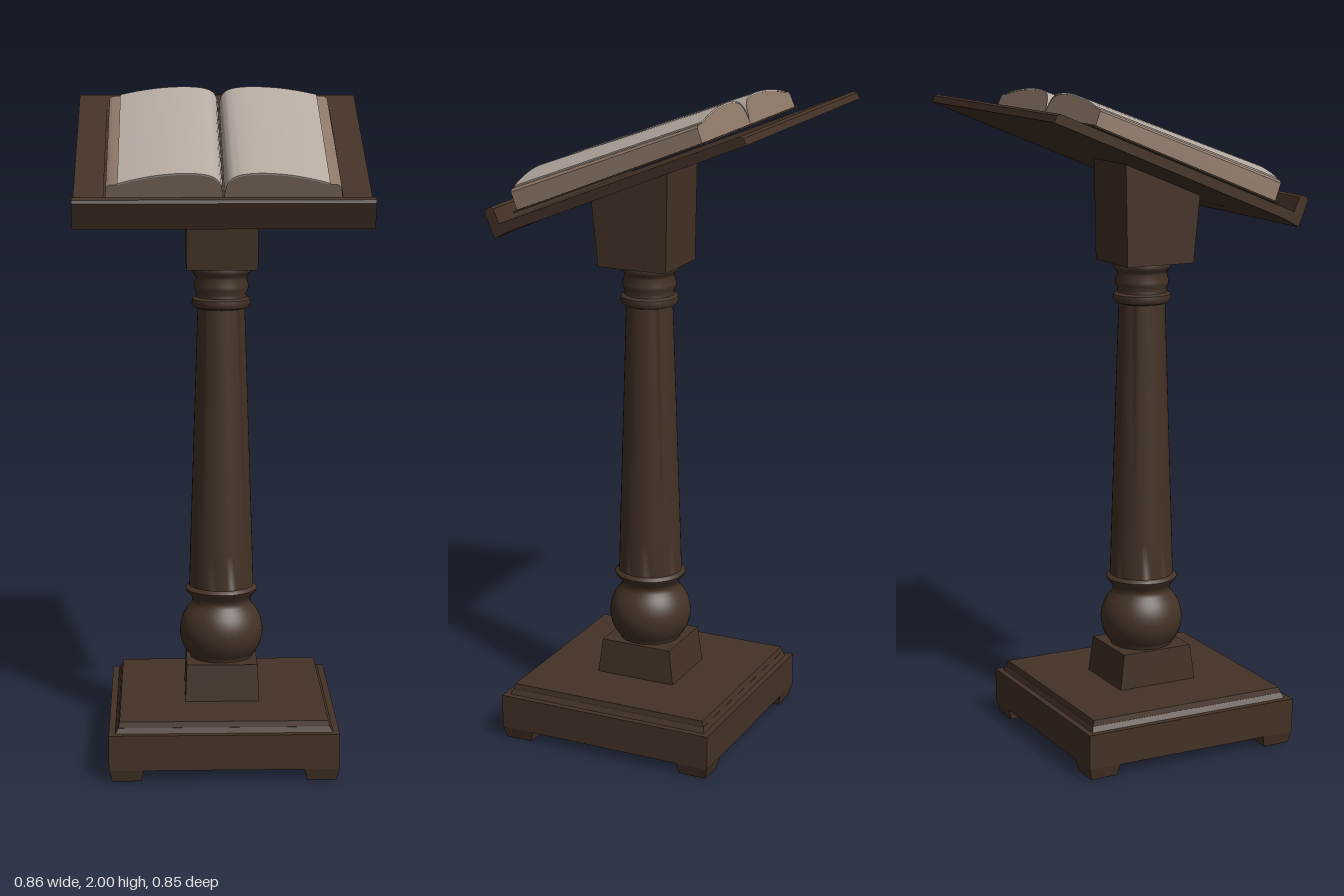
import * as THREE from 'three';
import { toCreasedNormals } from 'three/addons/utils/BufferGeometryUtils.js';

const wood = new THREE.MeshStandardMaterial({ color: 0x443226 });
wood.name = 'darkWood';
const paper = new THREE.MeshStandardMaterial({ color: 0xb5aaa0 });
paper.name = 'paper';
const paperEdge = new THREE.MeshStandardMaterial({ color: 0x8d7868 });
paperEdge.name = 'paperEdge';

const AXIS_Z = 0.073; // the pedestal stands a little forward of centre

function add(parent, name, geometry, material) {
  const mesh = new THREE.Mesh(geometry, material);
  mesh.name = name;
  parent.add(mesh);
  return mesh;
}

// Box between y0 and y1 whose bottom and top half sizes differ
function taperedBox(y0, y1, bottom, top) {
  const geo = new THREE.BoxGeometry(2, y1 - y0, 2);
  const p = geo.attributes.position;
  for (let i = 0; i < p.count; i++) {
    const half = p.getY(i) > 0 ? top : bottom;
    p.setX(i, p.getX(i) * half[0]);
    p.setZ(i, p.getZ(i) * half[1]);
  }
  geo.translate(0, (y0 + y1) / 2, 0);
  return toCreasedNormals(geo, 0.3);
}

// Side profile of [z, y] points, extruded across x
function acrossX(points, width) {
  const shape = new THREE.Shape(points.map(([z, y]) => new THREE.Vector2(z, y)));
  const geo = new THREE.ExtrudeGeometry(shape, { depth: width, bevelEnabled: false });
  geo.rotateY(-Math.PI / 2);
  geo.translate(width / 2, 0, 0);
  return toCreasedNormals(geo, 0.6);
}

// Cross-section of [x, y] points extruded along z, a little thinner at the back
function bookExtrusion(points, z0, z1) {
  const shape = new THREE.Shape(points);
  const geo = new THREE.ExtrudeGeometry(shape, { depth: z1 - z0, bevelEnabled: false });
  geo.translate(0, 0, z0);
  const p = geo.attributes.position;
  for (let i = 0; i < p.count; i++) {
    if (p.getZ(i) < (z0 + z1) / 2) p.setY(i, p.getY(i) * 0.83);
  }
  return toCreasedNormals(geo, 0.6);
}

function createBase() {
  const base = new THREE.Group();
  base.name = 'base';
  add(base, 'baseBlock', taperedBox(0.035, 0.142, [0.34, 0.35], [0.34, 0.35]), wood);
  add(base, 'baseStep', taperedBox(0.14, 0.158, [0.322, 0.332], [0.312, 0.325]), wood);
  add(base, 'baseSlab', taperedBox(0.155, 0.175, [0.312, 0.325], [0.308, 0.32]), wood);
  for (const sx of [-1, 1]) {
    for (const sz of [-1, 1]) {
      const foot = add(base, 'foot', taperedBox(0, 0.04, [0.043, 0.043], [0.052, 0.052]), wood);
      foot.position.set(sx * 0.288, 0, sz * 0.298);
    }
  }
  add(base, 'plinth', taperedBox(0.17, 0.285, [0.112, 0.13], [0.107, 0.115]), wood);
  base.position.z = AXIS_Z;
  return base;
}

// Turned column: ball, collar, tapering shaft and neck rings
function columnGeometry() {
  const profile = [[0.001, 0.28], [0.095, 0.28]];
  for (let i = 0; i <= 10; i++) {
    const a = -0.72 + i * 0.148;
    profile.push([0.127 * Math.cos(a), 0.367 + 0.12 * Math.sin(a)]);
  }
  profile.push(
    [0.088, 0.462], [0.092, 0.475], [0.106, 0.49], [0.11, 0.5], [0.104, 0.507], [0.098, 0.51],
    [0.095, 0.62], [0.071, 1.36],
    [0.083, 1.364], [0.089, 1.375], [0.087, 1.388], [0.076, 1.394],
    [0.074, 1.405], [0.081, 1.418], [0.082, 1.43], [0.075, 1.45],
    [0.078, 1.46], [0.087, 1.468], [0.089, 1.478], [0.084, 1.49], [0.001, 1.49]
  );
  const geo = new THREE.LatheGeometry(profile.map(([r, y]) => new THREE.Vector2(r, y)), 40);
  return toCreasedNormals(geo, 0.7);
}

function createBook() {
  const book = new THREE.Group();
  book.name = 'openBook';
  const back = -0.648, front = -0.015, bottom = 0.018;

  // Upper curve of the right half, from gutter to fore edge
  const curve = new THREE.SplineCurve([
    [0.002, 0.05], [0.012, 0.088], [0.04, 0.11], [0.1, 0.118],
    [0.18, 0.113], [0.25, 0.1], [0.302, 0.086],
  ].map(([x, y]) => new THREE.Vector2(x, y))).getPoints(24);

  for (const s of [1, -1]) {
    const side = s > 0 ? 'left' : 'right';
    const at = (x, y) => new THREE.Vector2(s * x, y);
    const outline = [at(0, bottom), ...curve.map((p) => at(p.x, p.y - 0.004)),
      at(0.325, 0.08), at(0.335, 0.072), at(0.339, bottom)];
    add(book, side + 'PageBlock', bookExtrusion(outline, back, front), paperEdge);

    // Top leaf laid over the page block
    const leaf = [...curve.map((p) => at(p.x, p.y)),
      ...curve.map((p) => at(p.x, p.y - 0.005)).reverse()];
    add(book, side + 'Page', bookExtrusion(leaf, back - 0.002, front + 0.002), paper);
  }

  const cover = add(book, 'cover', new THREE.BoxGeometry(0.69, 0.005, 0.65), wood);
  cover.position.set(0, 0.015, (back + front) / 2);
  return book;
}

export function createModel() {
  const model = new THREE.Group();
  model.name = 'lectern';
  model.add(createBase());
  add(model, 'column', columnGeometry(), wood).position.z = AXIS_Z;

  // Block that carries the sloping board
  add(model, 'boardSupport', acrossX(
    [[0.193, 1.485], [-0.03, 1.485], [-0.036, 1.805], [0.215, 1.7]], 0.21), wood);

  // Sloping top, with its origin at the foot of the book rest
  const top = new THREE.Group();
  top.name = 'slopingTop';
  top.position.set(0, 1.667, 0.341);
  top.rotation.x = 0.39;
  add(top, 'boardWithLedge', acrossX([
    [0.032, -0.036], [0.032, 0.045], [0.025, 0.053], [0.007, 0.053], [0, 0.045],
    [0, 0], [-0.805, 0], [-0.815, -0.008], [-0.815, -0.028], [-0.02, -0.03],
  ], 0.864), wood);
  top.add(createBook());
  model.add(top);
  return model;
}
